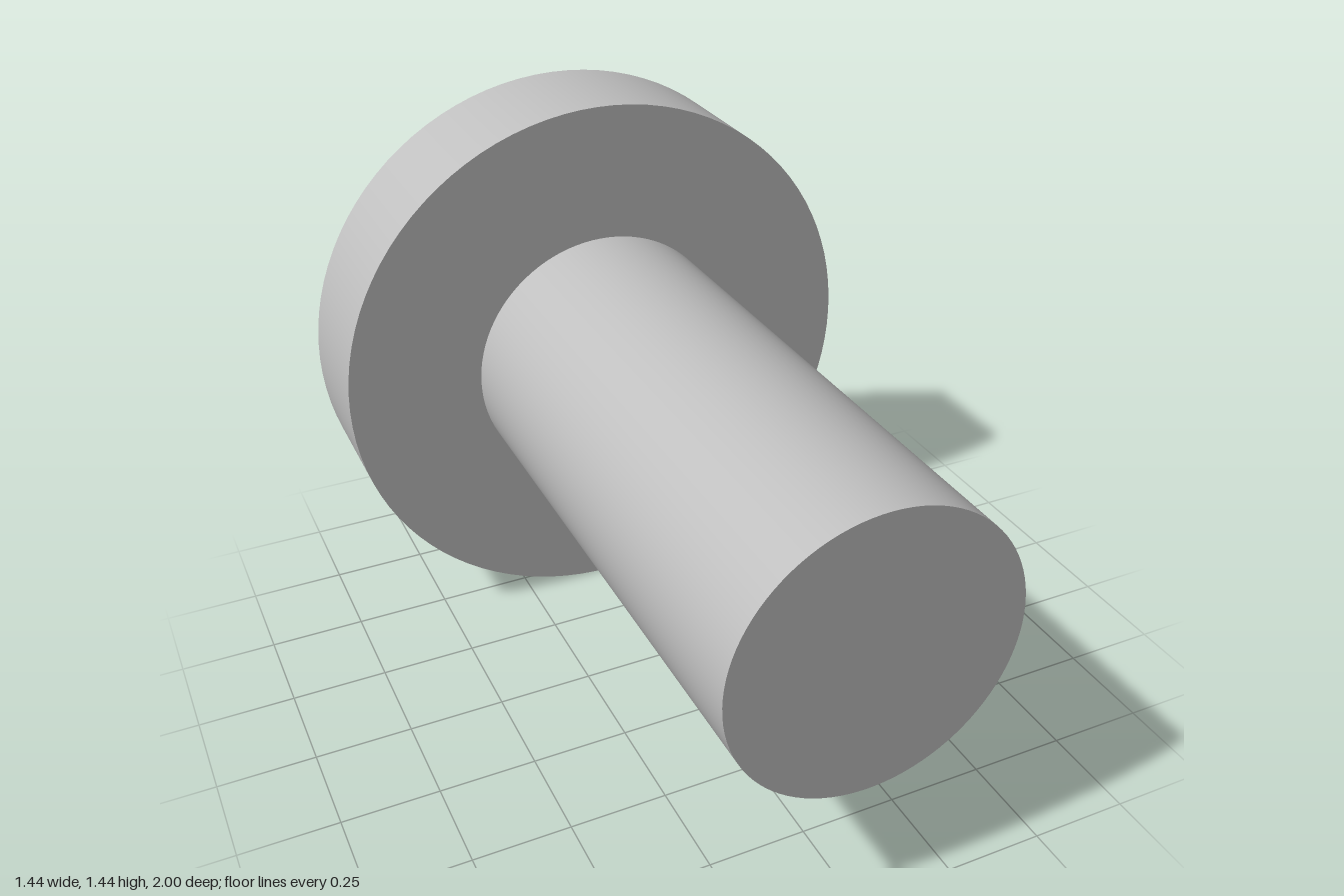
import * as THREE from 'three';

const HEAD_R = 0.718, SHANK_R = 0.358, AXIS_Y = 0.72;
const RIM_Z = -0.765, UNDER_Z = -0.44;
const SPHERE_R = 1.15, APEX_Z = -1.019;
const ARM_HALF = 0.146, ARM_END = 0.337, FLOOR_Z = -0.71;
const ARM_ANGLE = THREE.MathUtils.degToRad(15);
const CORNER = Math.atan2(ARM_HALF, ARM_END);

const domeZ = r => APEX_Z + SPHERE_R - Math.sqrt(SPHERE_R * SPHERE_R - r * r);
const polar = (r, a, z) => [r * Math.cos(a), r * Math.sin(a), z];

// Cross-shaped outline radius at angle f from the arm's centre line
function crossRadius(f) {
  const a = Math.abs(f);
  return a <= CORNER + 1e-6 ? ARM_END / Math.cos(a) : ARM_HALF / Math.sin(a);
}

// Angles across one arm's quarter turn, with samples exactly on the corners
function armAngles() {
  const q = Math.PI / 4, out = [];
  const stops = [[-q, -CORNER, 6], [-CORNER, CORNER, 12], [CORNER, q, 6]];
  for (const [a, b, n] of stops)
    for (let i = 0; i < n; i++) out.push(a + (b - a) * i / n);
  out.push(q);
  return out;
}

// Domed cap: rings from the cross outline out to the rim
function domeGeometry() {
  const rings = 14, pos = [], idx = [];
  const angles = [];
  for (let k = 0; k < 4; k++)
    for (const f of armAngles().slice(0, -1)) angles.push([f, f + ARM_ANGLE + k * Math.PI / 2]);
  const n = angles.length;
  for (let j = 0; j <= rings; j++)
    for (const [f, a] of angles) {
      const r = THREE.MathUtils.lerp(crossRadius(f), HEAD_R, j / rings);
      pos.push(...polar(r, a, domeZ(r)));
    }
  for (let j = 0; j < rings; j++)
    for (let i = 0; i < n; i++) {
      const i2 = (i + 1) % n;
      const a = j * n + i, b = j * n + i2, c = a + n, d = b + n;
      idx.push(a, d, c, a, b, d);
    }
  const g = new THREE.BufferGeometry();
  g.setAttribute('position', new THREE.Float32BufferAttribute(pos, 3));
  g.setIndex(idx);
  g.computeVertexNormals();
  return g;
}

// One arm of the recess: upright side walls, sloping floor, piece of the centre
function recessArmGeometry() {
  const pos = [];
  const tri = (...pts) => pts.forEach(p => pos.push(...p));
  const top = f => polar(crossRadius(f), f, domeZ(crossRadius(f)));
  const foot = f => [ARM_HALF, ARM_HALF * Math.tan(f) / Math.tan(CORNER), FLOOR_Z];
  const fs = armAngles();
  for (let i = 0; i < fs.length - 1; i++) {
    const f = fs[i], g = fs[i + 1], mid = (f + g) / 2;
    if (Math.abs(mid) > CORNER) {
      tri(top(g), top(f), foot(Math.sign(mid) * CORNER));
    } else {
      tri(top(g), top(f), foot(f));
      tri(top(g), foot(f), foot(g));
    }
  }
  tri(foot(CORNER), foot(-CORNER), [0, 0, FLOOR_Z - 0.03]);
  const geo = new THREE.BufferGeometry();
  geo.setAttribute('position', new THREE.Float32BufferAttribute(pos, 3));
  geo.computeVertexNormals();
  return geo;
}

export function createModel() {
  const steel = new THREE.MeshStandardMaterial({ color: 0xbfbfbf });
  steel.name = 'steel grey';
  const model = new THREE.Group();
  model.name = 'screw';
  const add = (name, geo, parent = model) => {
    const mesh = new THREE.Mesh(geo, steel);
    mesh.name = name;
    parent.add(mesh);
    return mesh;
  };

  // Shank
  const shankLength = 1 - UNDER_Z;
  add('shank', new THREE.CylinderGeometry(SHANK_R, SHANK_R, shankLength, 96)
    .rotateX(Math.PI / 2).translate(0, 0, (1 + UNDER_Z) / 2));

  // Head: straight band, underside and domed cap
  const head = new THREE.Group();
  head.name = 'head';
  model.add(head);
  add('headBand', new THREE.CylinderGeometry(HEAD_R, HEAD_R, UNDER_Z - RIM_Z, 96, 1, true)
    .rotateX(Math.PI / 2).translate(0, 0, (UNDER_Z + RIM_Z) / 2), head);
  add('headUnderside', new THREE.RingGeometry(SHANK_R - 0.002, HEAD_R, 96)
    .translate(0, 0, UNDER_Z), head);
  add('headDome', domeGeometry(), head);

  // Cross recess
  const recess = new THREE.Group();
  recess.name = 'crossRecess';
  head.add(recess);
  const armGeo = recessArmGeometry();
  for (let k = 0; k < 4; k++)
    add('recessArm', armGeo, recess).rotation.z = ARM_ANGLE + k * Math.PI / 2;

  model.children.forEach(part => { part.position.y = AXIS_Y; });
  return model;
}
